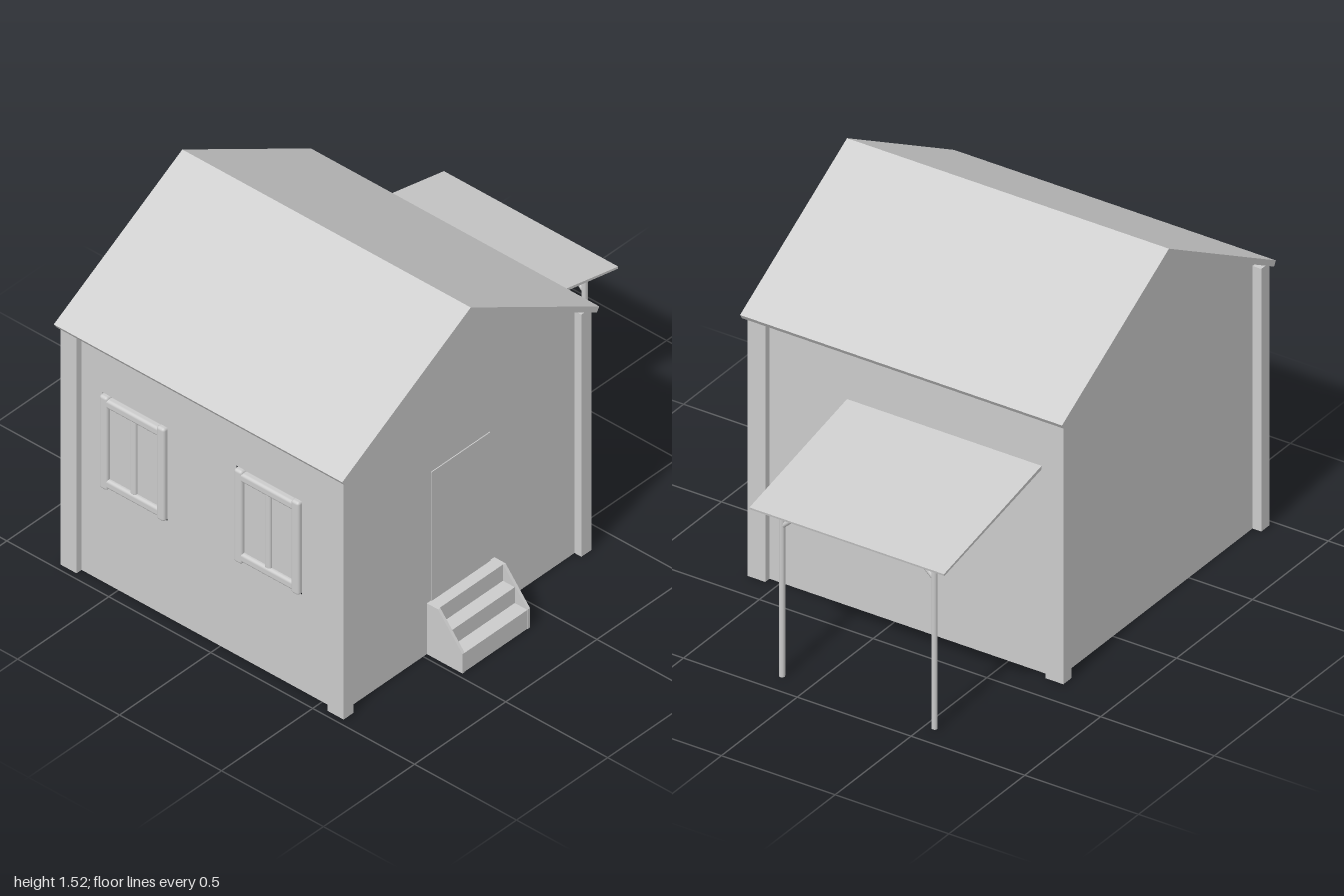
import * as THREE from 'three';
import { RoundedBoxGeometry } from 'three/addons/geometries/RoundedBoxGeometry.js';

const mat = new THREE.MeshStandardMaterial({ color: 0xcccccc });
const thin = new THREE.MeshStandardMaterial({ color: 0xcccccc, side: THREE.DoubleSide });

const CX = -0.295, HALF = 0.652;         // house centre line and half width
const Z0 = -0.72, Z1 = 0.595;            // back and front wall planes
const PLINTH = 0.235, EAVE = 1.123, RIDGE = 1.493;

function add(parent, name, geo, x = 0, y = 0, z = 0, material = mat) {
  const m = new THREE.Mesh(geo, material);
  m.name = name;
  m.position.set(x, y, z);
  parent.add(m);
  return m;
}

function poly(points, Type = THREE.Shape) {
  return new Type(points.map(([x, y]) => new THREE.Vector2(x, y)));
}

function rect(x0, x1, y0, y1, Type) {
  return poly([[x0, y0], [x1, y0], [x1, y1], [x0, y1]], Type);
}

function extrude(shape, depth) {
  return new THREE.ExtrudeGeometry(shape, { depth, bevelEnabled: false });
}

// Round pole between two points
function pole(parent, name, a, b, r) {
  const from = new THREE.Vector3(...a), to = new THREE.Vector3(...b);
  const dir = to.clone().sub(from);
  const m = add(parent, name, new THREE.CylinderGeometry(r, r, dir.length(), 8));
  m.position.copy(from).add(to).multiplyScalar(0.5);
  m.quaternion.setFromUnitVectors(new THREE.Vector3(0, 1, 0), dir.normalize());
}

function buildWalls(house, windows, door) {
  const x0 = CX - HALF, x1 = CX + HALF;
  const gable = () => poly([[x0, PLINTH], [x1, PLINTH], [x1, EAVE], [CX, RIDGE], [x0, EAVE]]);
  const front = poly([[x0, PLINTH], [door.x0, PLINTH], [door.x0, door.top], [door.x1, door.top],
    [door.x1, PLINTH], [x1, PLINTH], [x1, EAVE], [CX, RIDGE], [x0, EAVE]]);
  add(house, 'frontWall', new THREE.ShapeGeometry(front), 0, 0, Z1, thin);
  add(house, 'backWall', new THREE.ShapeGeometry(gable()), 0, 0, Z0, thin);

  // Side walls, drawn with -z along the shape's x axis
  for (const [name, x, holes] of [['leftWall', x1, []], ['rightWall', x0, windows]]) {
    const s = rect(-Z1, -Z0, PLINTH, EAVE);
    for (const w of holes) s.holes.push(rect(-w.z - w.w / 2, -w.z + w.w / 2, w.y - w.h / 2, w.y + w.h / 2, THREE.Path));
    add(house, name, new THREE.ShapeGeometry(s).rotateY(Math.PI / 2), x, 0, 0, thin);
  }

  // Plinth band around the foot, open below
  for (const z of [Z0, Z1])
    add(house, 'plinth', new THREE.PlaneGeometry(2 * HALF, PLINTH), CX, PLINTH / 2, z, thin);
  for (const x of [x0, x1])
    add(house, 'plinth', new THREE.PlaneGeometry(Z1 - Z0, PLINTH).rotateY(Math.PI / 2), x, PLINTH / 2, (Z0 + Z1) / 2, thin);

  // Corner posts
  for (const x of [x0, x1]) for (const z of [Z0, Z1 - 0.005])
    add(house, 'cornerPost', new THREE.BoxGeometry(0.055, 1.12, 0.078), x, 0.56, z);
}

function buildWindow(house, { z, y, w, h }) {
  const g = new THREE.Group();
  g.name = 'window';
  g.position.set(CX - HALF, y, z);
  const t = 0.04, d = 0.04;
  for (const s of [-1, 1]) {
    add(g, 'windowStile', new RoundedBoxGeometry(d, h, t, 2, 0.012), 0, 0, s * (w - t) / 2);
    add(g, 'windowRail', new RoundedBoxGeometry(d * 0.9, t, w - t, 2, 0.012), 0, s * (h / 2 - t * 0.75), 0);
  }
  add(g, 'windowMullion', new RoundedBoxGeometry(d * 0.7, h - 2 * t, 0.03, 2, 0.01));
  add(g, 'windowPane', new THREE.BoxGeometry(0.006, h - t, w - t));
  house.add(g);
}

function buildSteps(house) {
  const g = new THREE.Group();
  g.name = 'steps';
  const x0 = -0.48, x1 = -0.11, c = 0.012;
  const xs = (s, x, w, name) => // profile drawn in z and y, run along x
    add(g, name, extrude(s, w).rotateY(-Math.PI / 2), x + w, 0, 0);
  const cheek = poly([[Z1, 0], [0.77, 0], [0.77, 0.09], [0.65, 0.235], [Z1, 0.235]]);
  xs(cheek, x0, c, 'stepCheek');
  xs(cheek, x1 - c, c, 'stepCheek');
  // Folded tread sheet, hollow underneath
  const treads = poly([[Z1, 0.235], [0.648, 0.235], [0.648, 0.16], [0.706, 0.16], [0.706, 0.087], [0.768, 0.087],
    [0.768, 0], [0.758, 0], [0.758, 0.077], [0.696, 0.077], [0.696, 0.15], [0.638, 0.15], [0.638, 0.225], [Z1, 0.225]]);
  xs(treads, x0 + c, x1 - x0 - 2 * c, 'treads');
  house.add(g);
}

function buildAwning(house) {
  const g = new THREE.Group();
  g.name = 'awning';
  const wallX = CX + HALF, postX = 0.905, zs = [0.13, -0.54];
  const sheet = poly([[wallX, 0.865], [0.998, 0.73], [1, 0.739], [wallX, 0.88]]);
  add(g, 'awningSheet', extrude(sheet, 0.855), 0, 0, -0.645);
  for (const z of zs) {
    pole(g, 'awningRafter', [wallX, 0.856, z], [0.955, 0.732, z], 0.011);
    pole(g, 'awningPost', [postX, 0, z], [postX, 0.738, z], 0.012);
    const s = z > -0.2 ? -1 : 1; // brace leans toward the middle
    pole(g, 'awningBrace', [postX, 0.645, z + s * 0.006], [postX, 0.732, z + s * 0.1], 0.01);
  }
  pole(g, 'awningBeam', [postX, 0.733, 0.16], [postX, 0.733, -0.57], 0.011);
  house.add(g);
}

export function createModel() {
  const house = new THREE.Group();
  house.name = 'cottage';

  const windows = [-0.42, 0.24].map(z => ({ z, y: 0.66, w: 0.32, h: 0.43 }));
  const door = { x0: -0.458, x1: -0.135, top: 0.83 };
  buildWalls(house, windows, door);
  windows.forEach(w => buildWindow(house, w));

  add(house, 'door', new THREE.BoxGeometry(door.x1 - door.x0, door.top - PLINTH, 0.02),
    (door.x0 + door.x1) / 2, (door.top + PLINTH) / 2, Z1 - 0.006);

  // Gabled roof slab with square-cut eaves
  const roof = poly([[CX, 1.522], [CX - 0.705, 1.12], [CX - 0.692, 1.1], [CX, RIDGE], [CX + 0.692, 1.1], [CX + 0.705, 1.12]]);
  add(house, 'roof', extrude(roof, 1.415), 0, 0, -0.77);

  buildSteps(house);
  buildAwning(house);
  return house;
}
